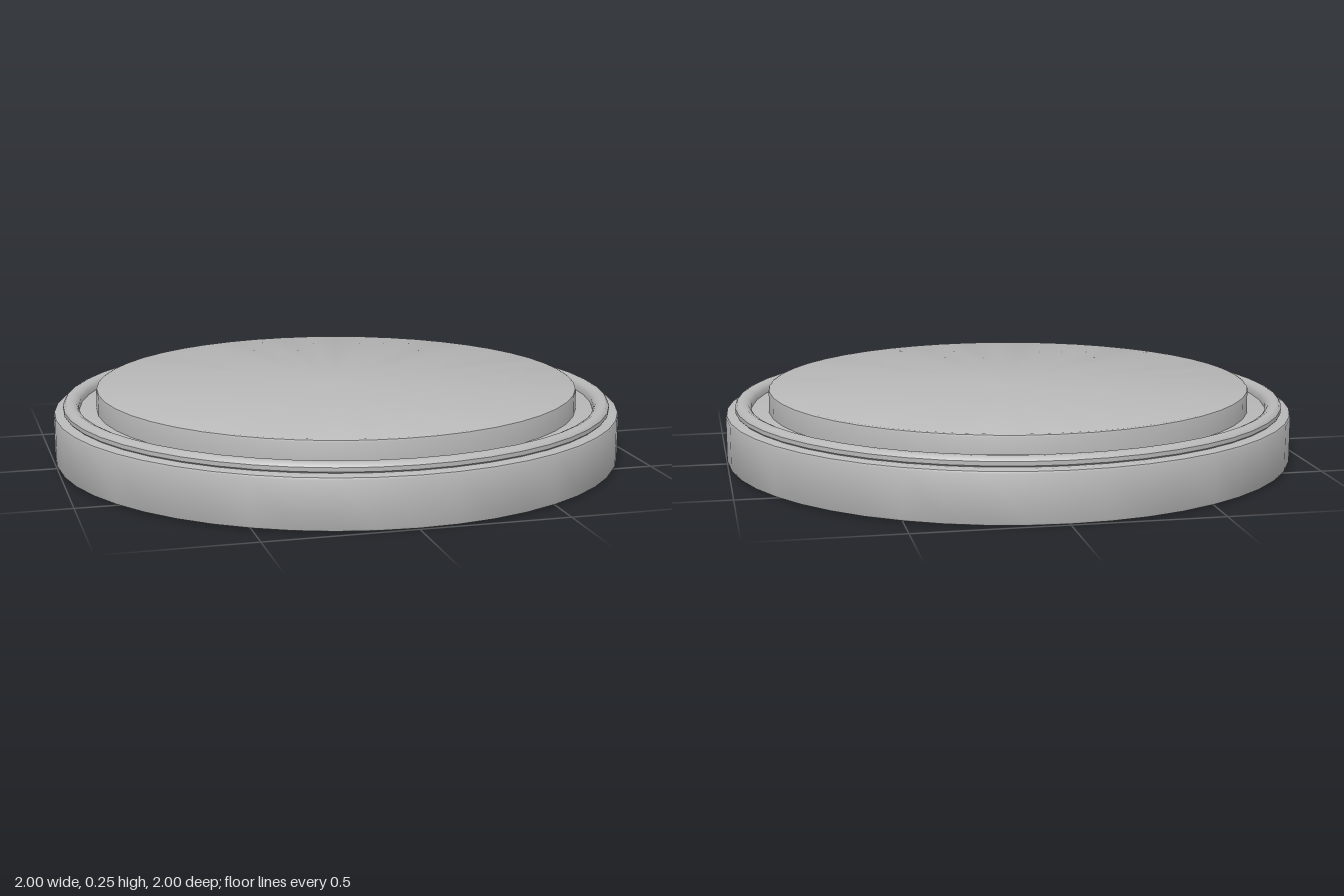
import * as THREE from 'three';
import { toCreasedNormals } from 'three/addons/utils/BufferGeometryUtils.js';

const SEGMENTS = 48;

export function createModel() {
  const model = new THREE.Group();
  model.name = 'roundPlate';
  const grey = new THREE.MeshStandardMaterial({ color: 0xb8b8b8 });
  grey.name = 'grey';

  // Turned part from a [radius, height] profile, listed from bottom to top
  const turned = (name, profile) => {
    const points = profile.map(([r, y]) => new THREE.Vector2(r, y));
    const geometry = toCreasedNormals(new THREE.LatheGeometry(points, SEGMENTS), 0.6);
    const mesh = new THREE.Mesh(geometry, grey);
    mesh.name = name;
    model.add(mesh);
  };

  // Wide base with softened edges
  turned('base', [
    [0, 0], [0.99, 0], [0.997, 0.003], [1, 0.01],
    [1, 0.165], [0.997, 0.172], [0.985, 0.177], [0, 0.177],
  ]);

  // Raised rim with a rounded crown
  turned('rim', [
    [0.96, 0.175], [0.967, 0.182], [0.967, 0.196], [0.96, 0.206],
    [0.95, 0.21], [0.935, 0.21], [0.92, 0.203], [0.912, 0.192], [0.91, 0.175],
  ]);

  // Central disc inside the groove
  turned('centreDisc', [
    [0.85, 0.175], [0.85, 0.245], [0.848, 0.251], [0.842, 0.254], [0, 0.254],
  ]);

  return model;
}
